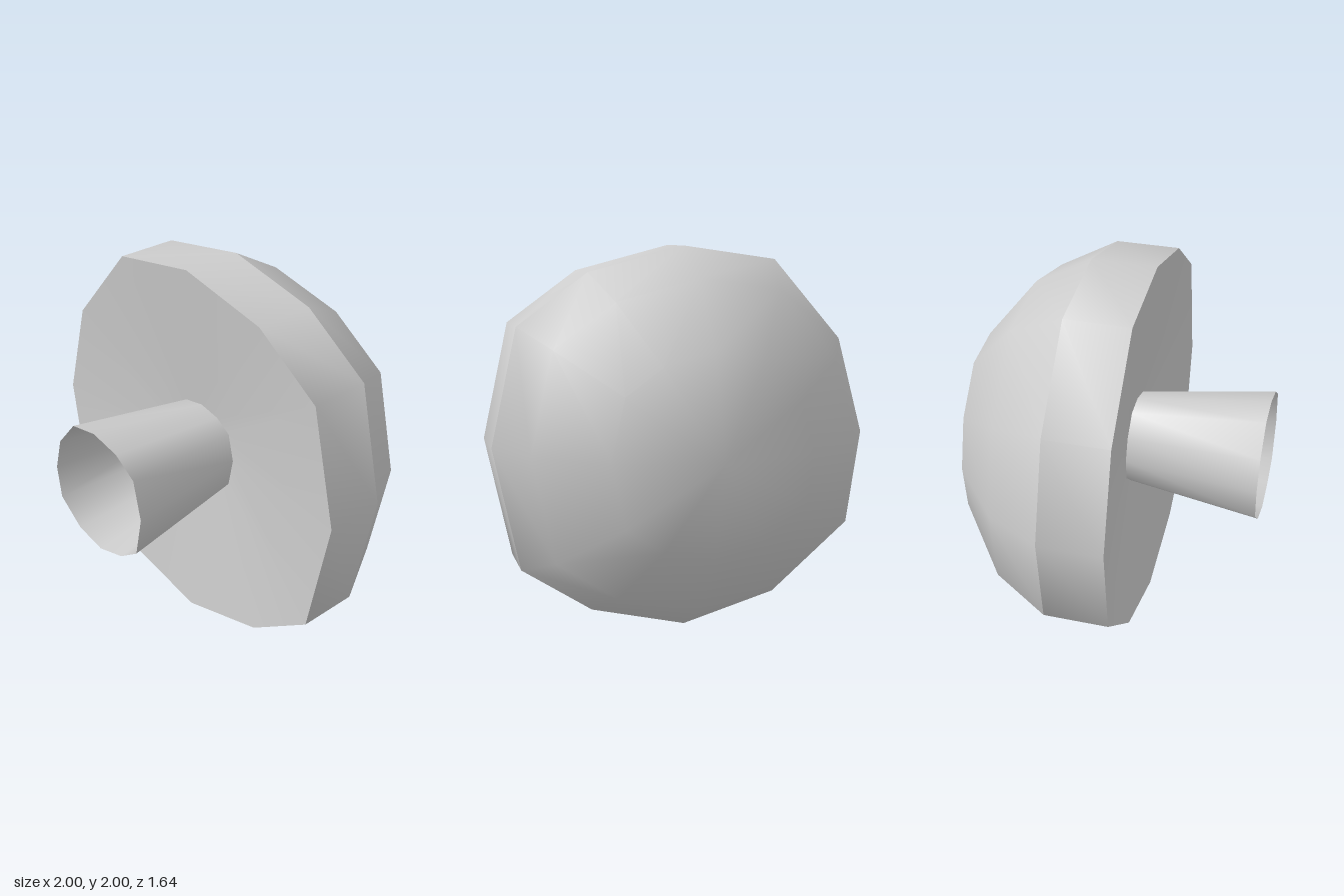
import * as THREE from 'three';
import { mergeVertices } from 'three/addons/utils/BufferGeometryUtils.js';

// Uneven twelve-sided outline shared by every ring, counter-clockwise from +x
const OUTLINE = [
  [1, 0], [0.865, 0.605], [0.5, 0.87], [0, 1], [-0.49, 0.93], [-0.86, 0.51],
  [-1, 0], [-0.925, -0.5], [-0.5, -0.86], [0, -1], [0.5, -0.88], [0.865, -0.64],
];

// Smooth skin through scaled copies of the outline; rings are [scale, z]
function loft(rings) {
  const n = OUTLINE.length;
  const positions = [];
  const index = [];
  for (const [s, z] of rings) {
    for (const [x, y] of OUTLINE) positions.push(x * s, 1 + y * s, z);
  }
  for (let r = 0; r < rings.length - 1; r++) {
    for (let j = 0; j < n; j++) {
      const k = (j + 1) % n;
      const a = r * n + j, b = r * n + k, c = a + n, d = b + n;
      if (rings[r][0] > 0) index.push(a, b, d);
      if (rings[r + 1][0] > 0) index.push(a, d, c);
      else if (rings[r][0] > 0) continue;
    }
  }
  let geometry = new THREE.BufferGeometry();
  geometry.setAttribute('position', new THREE.Float32BufferAttribute(positions, 3));
  geometry.setIndex(index);
  geometry = mergeVertices(geometry, 1e-4); // joins the tips
  geometry.computeVertexNormals();
  return geometry;
}

export function createModel() {
  const model = new THREE.Group();
  model.name = 'mushroomKnob';

  const grey = new THREE.MeshStandardMaterial({ color: 0xcccccc, side: THREE.DoubleSide });
  grey.name = 'light grey';

  const parts = {
    // rounded cap at the back
    capDome: [[0, -0.82], [0.51, -0.66], [0.845, -0.395], [1, -0.11]],
    // straight band around the cap
    capBand: [[1, -0.11], [1, 0.22]],
    // shallow hollow cone facing the front
    capUnderside: [[1, 0.22], [0.2375, 0.13], [0, 0.102]],
    // open flaring stem
    stem: [[0.2375, 0.13], [0.333, 0.82]],
  };

  for (const [name, rings] of Object.entries(parts)) {
    const mesh = new THREE.Mesh(loft(rings), grey);
    mesh.name = name;
    model.add(mesh);
  }
  return model;
}
